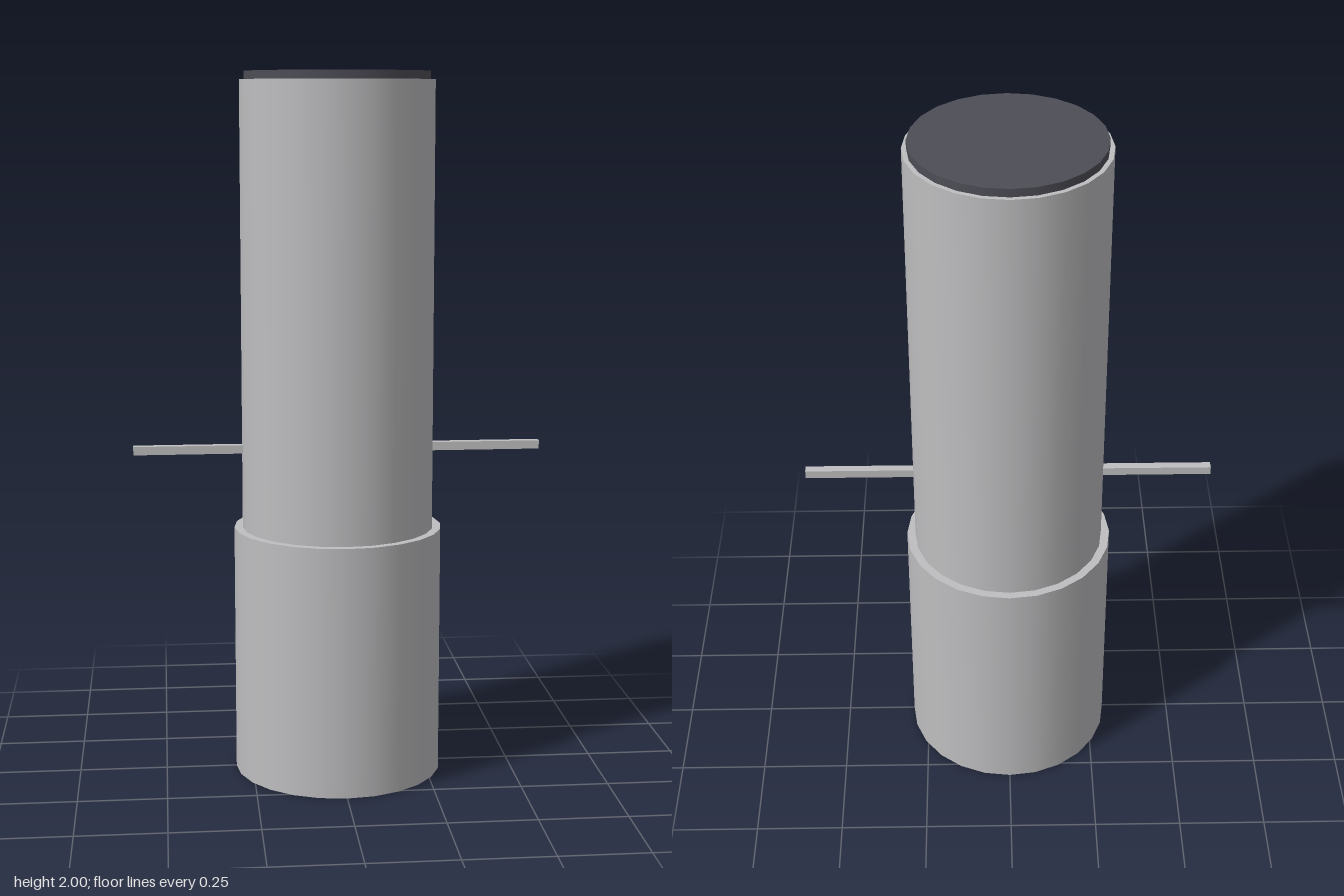
import * as THREE from 'three';

export function createModel() {
  const model = new THREE.Group();
  const lightGrey = new THREE.MeshStandardMaterial({ color: 0xbebec0 });
  lightGrey.name = 'lightGrey';
  const darkGrey = new THREE.MeshStandardMaterial({ color: 0x4d4d56 });
  darkGrey.name = 'darkGrey';

  function add(name, geometry, material, y) {
    const mesh = new THREE.Mesh(geometry, material);
    mesh.name = name;
    mesh.position.y = y;
    model.add(mesh);
  }

  // Upright cylinder between two heights
  function column(name, radius, bottom, top, material) {
    const geometry = new THREE.CylinderGeometry(radius, radius, top - bottom, 24);
    add(name, geometry, material, (bottom + top) / 2);
  }

  // Stacked body: wide base sleeve, slimmer barrel, dark end cap
  column('baseSleeve', 0.297, 0, 0.715, lightGrey);
  column('barrel', 0.273, 0.7, 1.977, lightGrey);
  column('endCap', 0.26, 1.97, 2, darkGrey);

  // Square rod passing through the barrel
  add('crossBar', new THREE.BoxGeometry(1.162, 0.024, 0.024), lightGrey, 0.943);

  return model;
}
